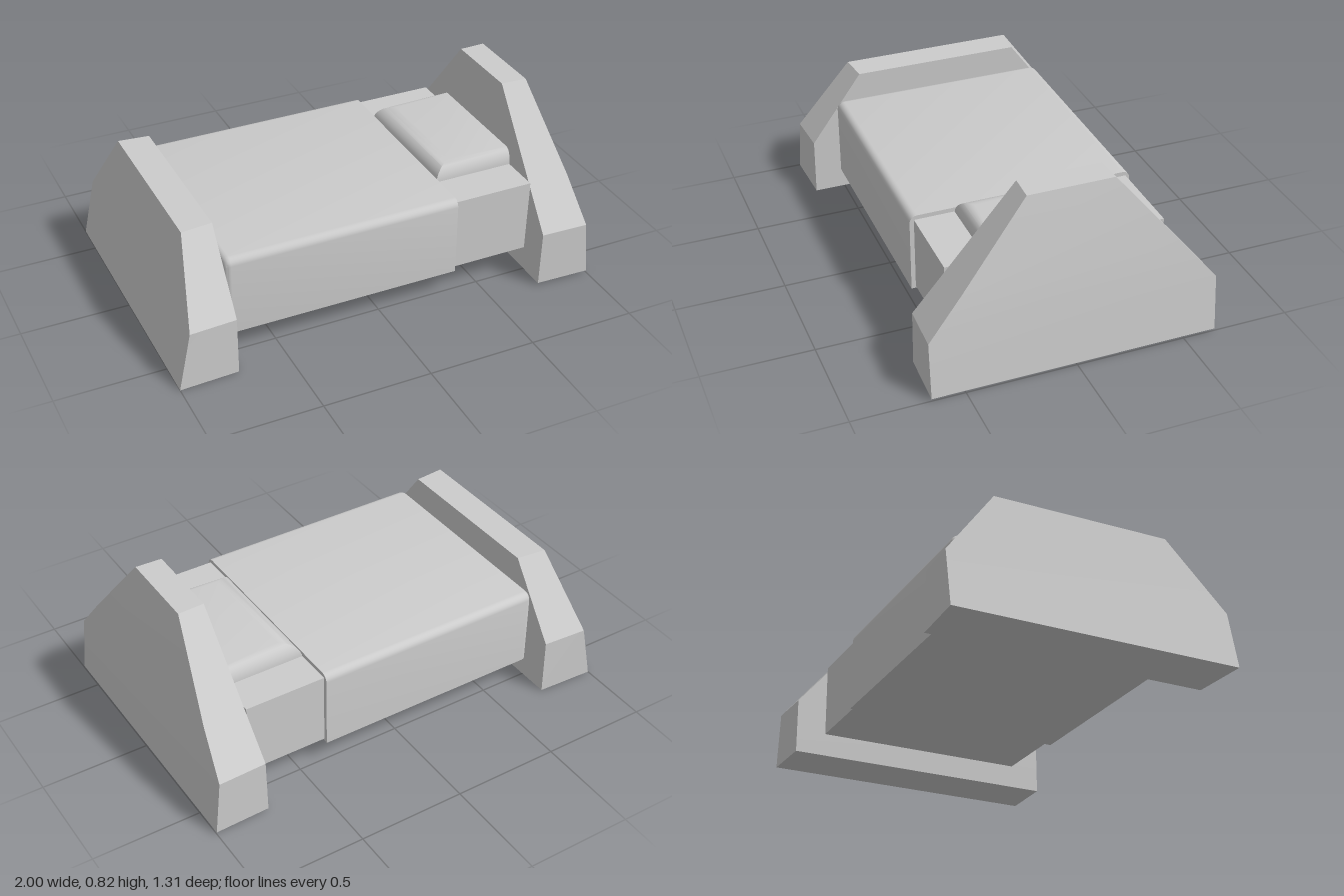
import * as THREE from 'three';
import { toCreasedNormals } from 'three/addons/utils/BufferGeometryUtils.js';

const material = new THREE.MeshStandardMaterial({ color: 0xcccccc });

// Skin between rings of [x, y, z] points, closed at both ends
function loft(name, rings, crease) {
  const n = rings[0].length, last = (rings.length - 1) * n, index = [];
  for (let i = 0; i < rings.length - 1; i++) {
    for (let j = 0; j < n; j++) {
      const a = i * n + j, b = i * n + (j + 1) % n;
      index.push(a, b, b + n, a, b + n, a + n);
    }
  }
  for (let j = 1; j < n - 1; j++) {
    index.push(0, j + 1, j, last, last + j, last + j + 1);
  }
  const geometry = new THREE.BufferGeometry();
  geometry.setAttribute('position', new THREE.Float32BufferAttribute(rings.flat(2), 3));
  geometry.setIndex(index);
  const mesh = new THREE.Mesh(toCreasedNormals(geometry, crease), material);
  mesh.name = name;
  return mesh;
}

// Horizontal four-cornered ring; each x end has its own half depth
const level = (y, x0, x1, z0, z1 = z0, cz = 0) => [
  [x0, y, cz + z0], [x1, y, cz + z1], [x1, y, cz - z1], [x0, y, cz - z0],
];

// Upright ring across the bed with rounded upper corners
function coverRing(x, inset) {
  const r = 0.035, z = 0.52 - inset, top = 0.485 - inset, bottom = 0.11;
  const side = [[bottom, z]];
  for (let k = 0; k <= 6; k++) {
    const a = k / 6 * Math.PI / 2;
    side.push([top - r + r * Math.sin(a), z - r + r * Math.cos(a)]);
  }
  const ring = side.map(([y, w]) => [x, y, -w]);
  return ring.concat(side.reverse().map(([y, w]) => [x, y, w]));
}

export function createModel() {
  const group = new THREE.Group();

  // Tapered end boards with sloping shoulders
  group.add(loft('footboard', [
    level(0, -1, -0.73, 0.657, 0.645),
    level(0.27, -0.943, -0.73, 0.655, 0.642),
    level(0.605, -0.873, -0.73, 0.41, 0.395),
  ], 0.2));
  group.add(loft('headboard', [
    level(0.01, 0.745, 1, 0.642, 0.65),
    level(0.27, 0.751, 0.974, 0.642, 0.65),
    level(0.46, 0.756, 0.952, 0.485, 0.495),
    level(0.82, 0.765, 0.887, 0.19, 0.195),
  ], 0.25));

  // Mattress block under the pillow, reaching beneath the cover
  const mattress = new THREE.Mesh(new THREE.BoxGeometry(0.4, 0.345, 1), material);
  mattress.name = 'mattress';
  mattress.position.set(0.555, 0.2925, 0);
  group.add(mattress);

  // Cover with softened foot end
  const coverRings = [];
  for (let k = 0; k <= 4; k++) {
    const a = k / 4 * Math.PI / 2;
    coverRings.push(coverRing(-0.727 + 0.027 * (1 - Math.cos(a)), 0.025 * (1 - Math.sin(a))));
  }
  coverRings.push(coverRing(0.375, 0));
  group.add(loft('bedCover', coverRings, 0.7));

  // Pillow rounded over its front and sides
  const pillowRings = [];
  for (let k = 0; k <= 8; k++) {
    const a = k / 8 * Math.PI / 2, inset = 1 - Math.cos(a);
    pillowRings.push(level(0.46 + 0.078 * Math.sin(a), 0.376 + 0.09 * inset, 0.76,
      0.32 - 0.06 * inset, 0.32 - 0.04 * inset, -0.005));
  }
  group.add(loft('pillow', pillowRings, 0.7));

  return group;
}
